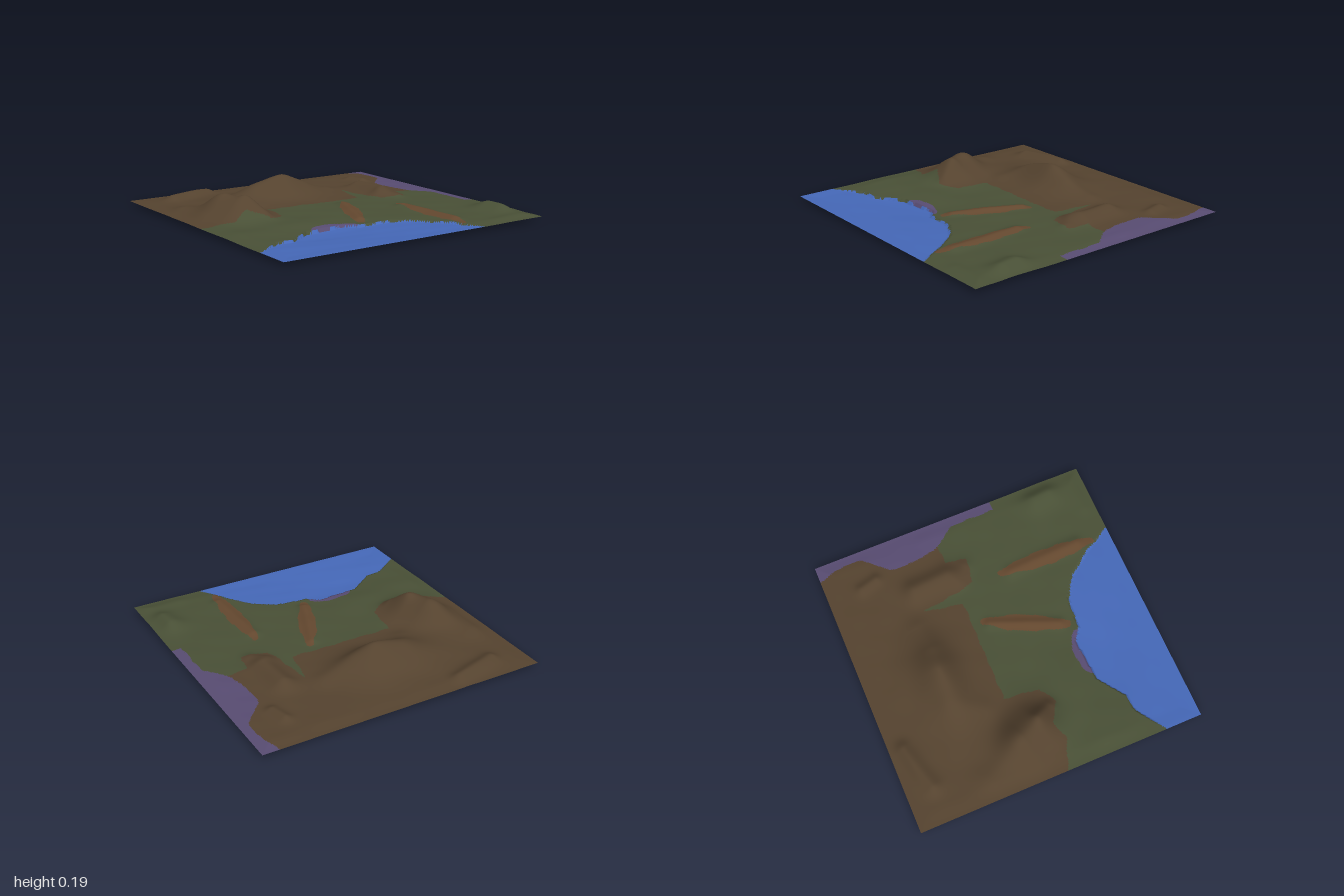
import * as THREE from 'three';

const N = 220; // grid cells per side

// Border lines as [along, across] points
const shoreLine = [
  [-1, 0.75], [-0.8, 0.61], [-0.68, 0.6], [-0.5, 0.47], [-0.2, 0.45],
  [-0.12, 0.51], [0.1, 0.53], [0.25, 0.63], [0.38, 0.8], [0.49, 1]];
const mountainFoot = [
  [-1, 0.03], [-0.8, 0.11], [-0.68, 0.06], [-0.55, 0.15], [-0.42, 0.08], [-0.39, -0.16],
  [0.35, -0.15], [0.4, -0.44], [0.44, -0.15], [0.47, -0.03], [0.65, 0], [0.68, -0.15]];
const heathEdge = [
  [-1, 0.89], [-0.8, 0.94], [-0.68, 0.93], [-0.52, 0.78], [-0.4, 0.77], [-0.18, 0.8], [0, 0.93]];

// Height of a border line at a position, straight between its points
function borderAt(line, s) {
  if (s <= line[0][0]) return line[0][1];
  for (let i = 1; i < line.length; i++) {
    const [a, u] = line[i - 1], [b, v] = line[i];
    if (s <= b) return u + (v - u) * (s - a) / (b - a);
  }
  return line[line.length - 1][1];
}

// Distance to a segment, and how far along it the nearest point lies
function nearest(ax, az, bx, bz, x, z) {
  const dx = bx - ax, dz = bz - az;
  const t = THREE.MathUtils.clamp(((x - ax) * dx + (z - az) * dz) / (dx * dx + dz * dz), 0, 1);
  return { t, d: Math.hypot(x - ax - dx * t, z - az - dz * t) };
}

// Long patch, widest in its middle
function inPatch(ax, az, bx, bz, halfWidth, x, z) {
  const { t, d } = nearest(ax, az, bx, bz, x, z);
  return d < halfWidth * (0.4 + 0.6 * Math.sin(Math.PI * t));
}

const inLake = (x, z) => x < 0.49 && z > borderAt(shoreLine, x);

// Ground regions; earlier ones take precedence
const regions = [
  { name: 'lake', color: 0x4568b8, contains: inLake },
  { name: 'rockRidges', color: 0x64482f, contains: (x, z) =>
    inPatch(0.17, -0.07, -0.07, 0.45, 0.06, x, z) || inPatch(0.455, 0.18, 0.44, 0.85, 0.06, x, z) },
  { name: 'heath', color: 0x584c72, contains: (x, z) =>
    (z < 0.32 && x > borderAt(heathEdge, z)) || Math.hypot((x + 0.3) / 0.17, (z - 0.49) / 0.09) < 1 },
  { name: 'mountainGround', color: 0x55432f, contains: (x, z) => z < borderAt(mountainFoot, x) },
  { name: 'grassland', color: 0x495036, contains: () => true },
];

// Ridges: start x, z, end x, z, radius, height
const ridges = [
  [-0.66, -0.05, -0.7, -0.16, 0.155, 0.14], // left mountain and its spurs
  [-0.62, -0.02, -0.56, 0.09, 0.05, 0.022],
  [-0.75, -0.25, -0.85, -0.45, 0.1, 0.025],
  [-0.3, -0.52, -0.4, -0.3, 0.08, 0.015], // spurs of the main mountain
  [0.12, -0.48, 0.3, -0.5, 0.08, 0.02],
  [-0.75, -0.82, -0.45, -0.91, 0.06, 0.036], // back ridge
  [0.56, -0.42, 0.58, -0.18, 0.085, 0.055], // right hills
  [0.52, -0.12, 0.6, -0.04, 0.06, 0.02],
  [0.72, -0.75, 0.75, -0.64, 0.045, 0.025],
  [0.14, -0.04, -0.04, 0.4, 0.04, 0.018], // rock ridges
  [0.44, 0.25, 0.46, 0.75, 0.05, 0.02],
  [0.88, 0.62, 0.9, 0.72, 0.095, 0.045], // grassy hills
  [0.7, 0.93, 0.95, 0.93, 0.07, 0.012],
  [-0.9, 0.35, -0.4, 0.3, 0.13, 0.01],
];

// Soft bumps from a few crossed waves
const bumps = (x, z) =>
  Math.sin(9 * x + 4 * z + 1) * Math.sin(11 * z - 3 * x) * 0.6 +
  Math.sin(23 * x - 9 * z) * Math.sin(19 * z + 7 * x + 2) * 0.4;

function groundHeight(x, z) {
  // edges of the sheet settle to a level rim
  const rim = THREE.MathUtils.smoothstep(1 - Math.max(Math.abs(x), Math.abs(z)), 0, 0.12);
  const basin = 0.02 * Math.exp(-(((x + 0.4) / 0.4) ** 2) - ((z - 0.55) / 0.22) ** 2);
  if (inLake(x, z)) {
    return 0.025 - rim * (basin + 0.004) + rim * 0.002 * bumps(x * 0.7, z * 1.6);
  }
  let h = 0.033 - 0.008 * (1 - rim) + 0.003 * rim * bumps(x, z) - basin * 0.5;
  // main mountain, with a long left flank and a steep front
  const sx = x < -0.07 ? 0.32 : 0.21, sz = z < -0.49 ? 0.16 : 0.14;
  h += 0.162 * Math.exp(-Math.pow(Math.hypot((x + 0.07) / sx, (z + 0.49) / sz), 1.7));
  for (const [ax, az, bx, bz, radius, height] of ridges) {
    const { d } = nearest(ax, az, bx, bz, x, z);
    h += height * Math.exp(-Math.pow(d / radius, 1.9)) * (0.4 + 0.6 * rim);
  }
  return h;
}

export function createModel() {
  const group = new THREE.Group();

  // Shared surface, with its lowest point on the ground
  const surface = new THREE.PlaneGeometry(2, 2, N, N).rotateX(-Math.PI / 2);
  const pos = surface.attributes.position;
  for (let i = 0; i < pos.count; i++) pos.setY(i, groundHeight(pos.getX(i), pos.getZ(i)));
  surface.computeBoundingBox();
  surface.translate(0, -surface.boundingBox.min.y, 0);
  surface.computeVertexNormals();

  // Sort the triangles into the regions, with slightly wavering borders
  const faces = regions.map(() => []);
  const index = surface.index.array;
  for (let i = 0; i < index.length; i += 3) {
    const tri = [index[i], index[i + 1], index[i + 2]];
    const x = tri.reduce((s, v) => s + pos.getX(v), 0) / 3;
    const z = tri.reduce((s, v) => s + pos.getZ(v), 0) / 3;
    const wx = x + 0.004 * Math.sin(37 * z), wz = z + 0.004 * Math.sin(41 * x);
    faces[regions.findIndex((r) => r.contains(wx, wz))].push(...tri);
  }

  // One mesh for each region
  regions.forEach(({ name, color }, k) => {
    const material = new THREE.MeshStandardMaterial({ color, side: THREE.DoubleSide });
    material.name = name + ' colour';
    const geometry = new THREE.BufferGeometry();
    geometry.setAttribute('position', pos);
    geometry.setAttribute('normal', surface.attributes.normal);
    geometry.setIndex(faces[k]);
    const mesh = new THREE.Mesh(geometry, material);
    mesh.name = name;
    group.add(mesh);
  });
  return group;
}
